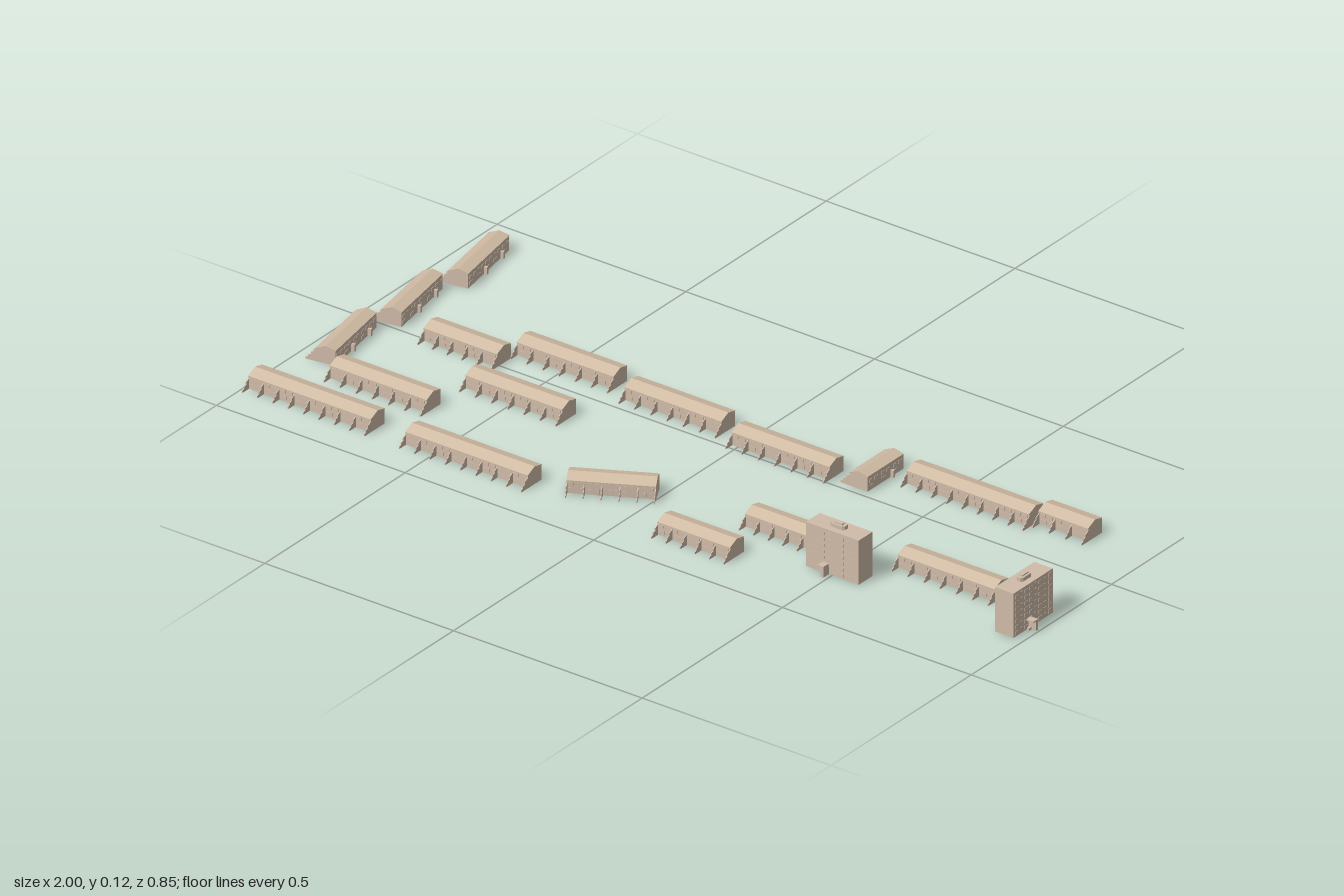
import * as THREE from 'three';
import { mergeGeometries } from 'three/addons/utils/BufferGeometryUtils.js';

const brick = new THREE.MeshStandardMaterial({ color: 0xd0bca9 });
brick.name = 'pale brick';
const tile = new THREE.MeshStandardMaterial({ color: 0xcfbaa2 });
tile.name = 'roof tile';

// Box placed by its centre in x and z and its base in y
function block(w, h, d, x, y, z) {
  return new THREE.BoxGeometry(w, h, d).translate(x, y + h / 2, z);
}

// Extrudes a [z, y] outline along x, from x0 to x0 + length
function section(points, length, x0) {
  const shape = new THREE.Shape(points.map(([z, y]) => new THREE.Vector2(-z, y)));
  return new THREE.ExtrudeGeometry(shape, { depth: length, bevelEnabled: false })
    .rotateY(Math.PI / 2).translate(x0, 0, 0);
}

function part(name, geometries, material) {
  const list = geometries.map((g) => (g.index ? g.toNonIndexed() : g));
  const mesh = new THREE.Mesh(mergeGeometries(list), material);
  mesh.name = name;
  return mesh;
}

// Terrace of small houses: gabled shell, stepped garden walls, windows and doors
function terrace(length) {
  const group = new THREE.Group();
  const n = Math.max(3, Math.round(length / 0.042));
  const step = length / n;
  const walls = [section([[-0.024, 0], [0.024, 0], [0.024, 0.03], [0, 0.041], [-0.024, 0.035]], length, -length / 2)];
  group.add(part('houseWalls', walls, brick));

  // Two roof slopes meeting at the ridge
  const roof = section([[0.025, 0.0295], [0.025, 0.031], [0, 0.0425], [-0.025, 0.0365],
    [-0.025, 0.035], [0, 0.041]], length, -length / 2);
  group.add(part('roof', [roof], tile));

  const fins = [];
  const openings = [];
  for (let i = 0; i <= n; i++) {
    const x = -length / 2 + i * step;
    const finX = Math.min(Math.max(x - 0.001, -length / 2), length / 2 - 0.002);
    // Garden wall steps down away from the house
    fins.push(section([[0.024, 0], [0.047, 0], [0.047, 0.005], [0.041, 0.008],
      [0.041, 0.012], [0.034, 0.014], [0.034, 0.02], [0.024, 0.025]], 0.002, finX));
    if (i === n) break;
    const c = x + step / 2;
    for (const dx of [-0.23, 0.23]) {
      for (const side of [-1, 1]) {
        openings.push(block(step * 0.28, 0.007, 0.0012, c + dx * step, 0.0195, side * 0.0243));
      }
    }
    openings.push(block(step * 0.36, 0.008, 0.0012, c - 0.2 * step, 0.005, 0.0243));
    openings.push(block(step * 0.2, 0.014, 0.0012, c + 0.26 * step, 0, 0.0243));
    openings.push(block(step * 0.36, 0.008, 0.0012, c + 0.2 * step, 0.005, -0.0243));
    // Entrance screens shared by pairs of houses at the back
    if (i % 2 === 0 && i + 1 < n) {
      fins.push(block(0.006, 0.017, 0.008, x + step, 0, -0.028));
    }
  }
  group.add(part('gardenWalls', fins, brick));
  group.add(part('windowsAndDoors', openings, brick));
  return group;
}

// Tall block of flats, long faces towards +z and -z
function tower() {
  const group = new THREE.Group();
  const w = 0.14, d = 0.049, h = 0.107;
  group.add(part('towerWalls', [block(w, h, d, 0, 0, 0)], brick));

  // Shallow relief of windows and balcony fronts
  const relief = [];
  for (let floor = 0; floor < 7; floor++) {
    for (let i = 0; i < 8; i++) {
      for (const side of [-1, 1]) {
        if (floor === 0 && (i === 3 || i === 4)) continue;
        const tall = i % 3 === 1 ? 0.0105 : 0.008;
        relief.push(block(0.011, tall, 0.0015, (i - 3.5) * 0.0168, 0.004 + floor * 0.0145, side * d / 2));
      }
    }
  }
  group.add(part('towerWindows', relief, brick));

  // Entrance porch with a canopy on one side, narrow link on the other
  const porch = [
    block(0.016, 0.004, 0.02, -0.017, 0.022, d / 2 + 0.01),
    block(0.008, 0.022, 0.02, -0.013, 0, d / 2 + 0.01),
    block(0.014, 0.006, 0.006, -0.018, 0, d / 2 + 0.005),
    block(0.006, 0.024, 0.02, 0.002, 0, -d / 2 - 0.009),
    block(0.02, 0.003, 0.012, 0.002, 0.022, -d / 2 - 0.006),
  ];
  group.add(part('porches', porch, brick));

  // Lift room with chamfered corners
  const plan = new THREE.Shape([[-0.019, -0.005], [-0.014, -0.009], [0.014, -0.009], [0.019, -0.005],
    [0.019, 0.005], [0.014, 0.009], [-0.014, 0.009], [-0.019, 0.005]].map(([x, y]) => new THREE.Vector2(x, y)));
  const room = new THREE.ExtrudeGeometry(plan, { depth: 0.009, bevelEnabled: false })
    .rotateX(-Math.PI / 2).translate(0, h, 0);
  group.add(part('liftRoom', [room, block(0.022, 0.003, 0.008, 0, h + 0.009, 0)], brick));
  return group;
}

export function createModel() {
  const model = new THREE.Group();
  model.name = 'housingEstate';

  function place(name, object, x, z, degrees = 0) {
    object.name = name;
    object.position.set(x, 0, z);
    object.rotation.y = THREE.MathUtils.degToRad(degrees);
    model.add(object);
  }

  // Terraces: centre x, centre z, length, turn in degrees
  const rows = [
    [-0.828, 0.375, 0.325, 0], [-0.412, 0.375, 0.325, 0],
    [-0.75, 0.235, 0.257, 0], [-0.493, 0.098, 0.257, 0],
    [-0.493, -0.085, 0.257, 0], [-0.72, -0.017, 0.195, 0],
    [-0.19, -0.062, 0.257, 0], [0.113, -0.038, 0.26, 0],
    [0.546, -0.123, 0.325, 0], [0.781, -0.147, 0.132, 0],
    [0.719, 0.187, 0.257, 0], [0.318, 0.235, 0.193, 0],
    [0.19, 0.375, 0.193, 0], [-0.098, 0.3, 0.193, 28],
    [0.315, -0.083, 0.128, -90], [-0.919, -0.325, 0.192, -80.5],
    [-0.931, -0.104, 0.192, -80.5], [-0.941, 0.118, 0.192, -80.5],
  ];
  rows.forEach(([x, z, length, turn], i) => place('terrace' + (i + 1), terrace(length), x, z, turn));

  place('towerBlockFront', tower(), 0.5, 0.298);
  place('towerBlockSide', tower(), 0.95, 0.245, 90);
  return model;
}
